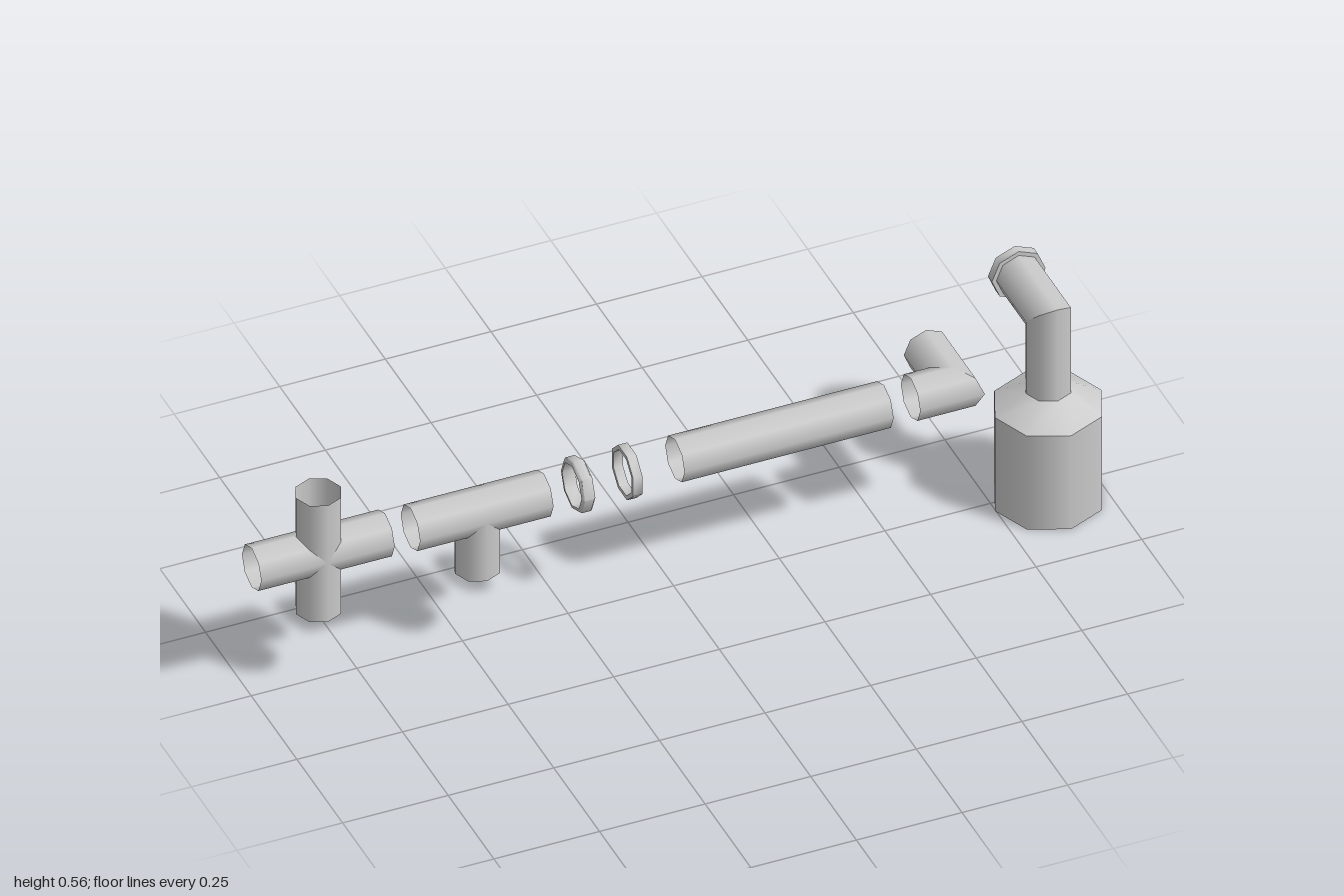
import * as THREE from 'three';
import { toCreasedNormals } from 'three/addons/utils/BufferGeometryUtils.js';

const SIDES = 8;
const R = 0.053;    // pipe radius
const PIPE_Y = 0.346;
const PIPE_Z = 0.002;
const mat = new THREE.MeshStandardMaterial({ color: 0xcccccc, side: THREE.DoubleSide });
const V = (x, y, z) => new THREE.Vector3(x, y, z);
const LEFT = V(1, 0, 0), RIGHT = V(-1, 0, 0), UP = V(0, 1, 0), DOWN = V(0, -1, 0), BACK = V(0, 0, -1);

// How an arm's inner end is cut, by the offset b towards its neighbour arm
const cuts = {
  square: () => 0,
  elbow: b => b,
  through: b => Math.max(0, b),
  branch: b => Math.abs(b),
};

// Open pipe running from the joint along dir; its inner end is mitred against an arm along side
function arm(name, dir, side, length, cut, r = R) {
  const g = new THREE.CylinderGeometry(r, r, length, SIDES, 1, true).translate(0, length / 2, 0);
  const p = g.attributes.position;
  for (let i = 0; i < p.count; i++) {
    if (p.getY(i) < length / 2) p.setY(i, cut(p.getX(i)));
  }
  g.applyMatrix4(new THREE.Matrix4().makeBasis(side, dir, side.clone().cross(dir)));
  const mesh = new THREE.Mesh(g, mat);
  mesh.name = name;
  return mesh;
}

// Open cylinder or cone standing between two heights
function shell(name, rBottom, rTop, y0, y1) {
  const g = new THREE.CylinderGeometry(rTop, rBottom, y1 - y0, SIDES, 1, true);
  const mesh = new THREE.Mesh(g.translate(0, (y0 + y1) / 2, 0), mat);
  mesh.name = name;
  return mesh;
}

// Faceted collar around the y axis, with an optional bevel on its outer edges
function ring(name, width, bevel = 0, turn = 0) {
  const h = width / 2, ro = 0.0635;
  const outer = bevel
    ? [[ro - bevel, -h], [ro, bevel - h], [ro, h - bevel], [ro - bevel, h]]
    : [[ro, -h], [ro, h]];
  const profile = [[R, -h], ...outer, [R, h], [R, -h]].map(([x, y]) => new THREE.Vector2(x, y));
  const g = toCreasedNormals(new THREE.LatheGeometry(profile, SIDES).rotateY(turn), 0.9);
  const mesh = new THREE.Mesh(g, mat);
  mesh.name = name;
  return mesh;
}

function part(name, x, y, z, ...children) {
  const g = new THREE.Group();
  g.name = name;
  g.position.set(x, y, z);
  g.add(...children);
  return g;
}

export function createModel() {
  const model = new THREE.Group();
  model.name = 'pipeSet';

  // Four-way cross
  model.add(part('crossPipe', -0.842, PIPE_Y + 0.004, PIPE_Z,
    arm('crossLeftArm', LEFT, UP, 0.158, cuts.branch),
    arm('crossRightArm', RIGHT, UP, 0.158, cuts.branch),
    arm('crossUpperArm', UP, LEFT, 0.158, cuts.branch),
    arm('crossLowerArm', DOWN, LEFT, 0.158, cuts.branch)));

  // Tee with its stem hanging down
  model.add(part('teePipe', -0.466, PIPE_Y, PIPE_Z,
    arm('teeLeftArm', LEFT, DOWN, 0.158, cuts.through),
    arm('teeRightArm', RIGHT, DOWN, 0.158, cuts.through),
    arm('teeStem', DOWN, LEFT, 0.156, cuts.branch)));

  // Two loose collars
  const wide = ring('wideCollar', 0.03, 0.004);
  const narrow = ring('narrowCollar', 0.022, 0, Math.PI / SIDES);
  for (const [mesh, x] of [[wide, -0.227], [narrow, -0.111]]) {
    mesh.rotation.z = Math.PI / 2;
    mesh.position.set(x, PIPE_Y, PIPE_Z);
    model.add(mesh);
  }

  // Straight pipe
  model.add(part('straightPipe', 0.002, PIPE_Y, PIPE_Z,
    arm('straightTube', LEFT, UP, 0.495, cuts.square)));

  // Right-angle elbow turning to the back
  model.add(part('elbowPipe', 0.66, PIPE_Y, PIPE_Z,
    arm('elbowRightArm', RIGHT, BACK, 0.1, cuts.elbow),
    arm('elbowBackArm', BACK, RIGHT, 0.146, cuts.elbow)));

  // Wide vent base with a shoulder, bent neck and flanged outlet
  const bendY = 0.493;
  const neck = arm('neck', DOWN, BACK, bendY - 0.298, cuts.elbow);
  const outlet = arm('outlet', BACK, DOWN, 0.183, cuts.elbow);
  const flange = ring('outletFlange', 0.022);
  flange.rotation.x = Math.PI / 2;
  flange.position.z = -0.172;
  model.add(part('ventPipe', 0.874, 0, 0.029,
    shell('base', 0.126, 0.126, 0, 0.254),
    shell('shoulder', 0.126, R, 0.254, 0.298),
    part('bentNeck', 0, bendY, 0, neck, outlet, flange)));

  return model;
}
